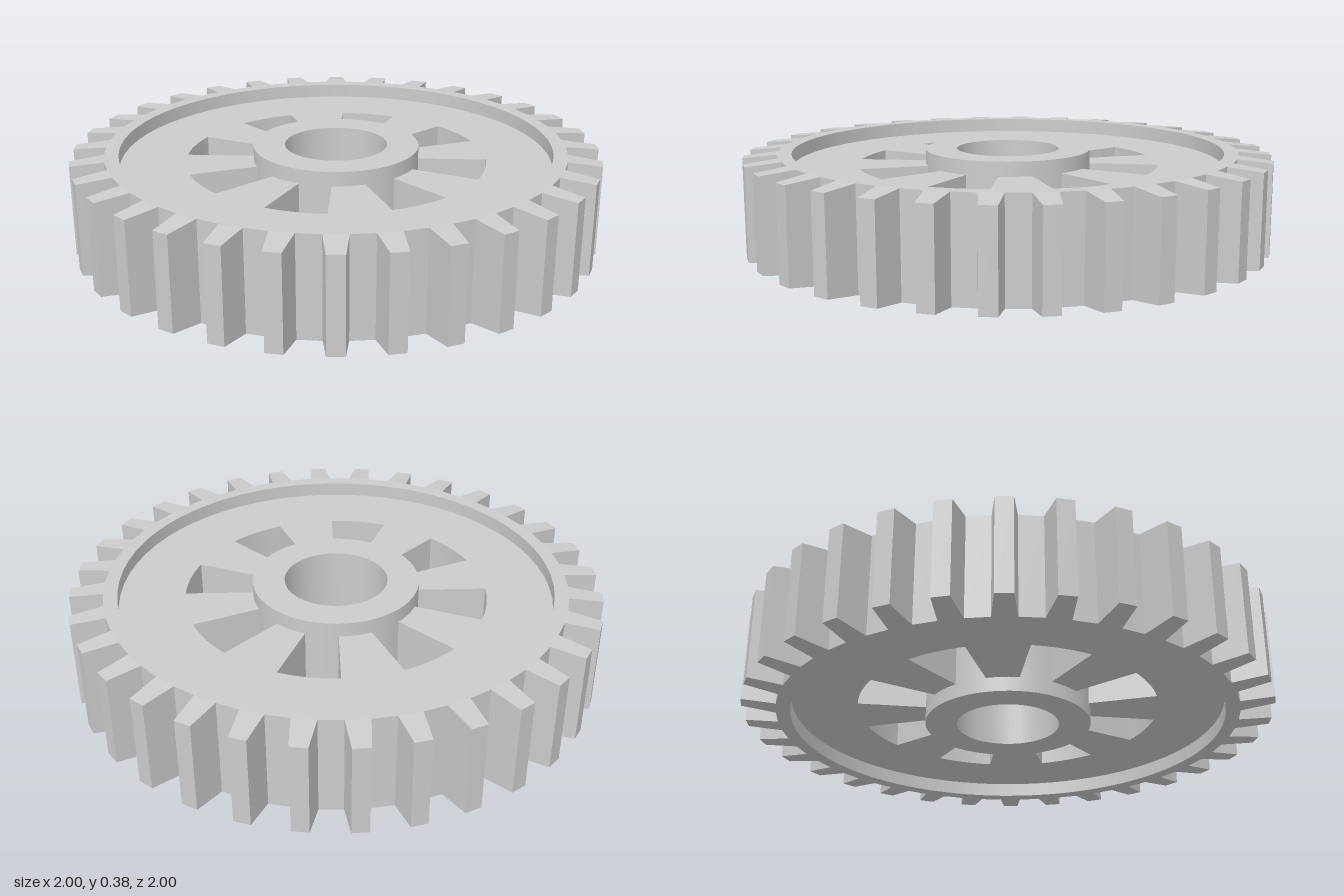
import * as THREE from 'three';
import { toCreasedNormals } from 'three/addons/utils/BufferGeometryUtils.js';

const HEIGHT = 0.376, TEETH = 32, PITCH = (Math.PI * 2) / TEETH;
const BORE = 0.195, HUB = 0.315, WINDOW = 0.573, RIM = 0.82, ROOT = 0.873, TIP = 1;
const TIP_DROP = 0.013;          // the teeth thin slightly towards their tips
const WEB_LOW = 0.055, WEB_HIGH = HEIGHT - 0.055;
const SPOKES = 8;

const material = new THREE.MeshStandardMaterial({ color: 0xcccccc });

function part(name, geometry) {
  const mesh = new THREE.Mesh(geometry, material);
  mesh.name = name;
  return mesh;
}

// Rim band with its teeth, one pitch at a time
function toothedRim() {
  const positions = [];
  const quad = (a, b, c, d) => [a, b, c, a, c, d].forEach((p) => positions.push(...p));
  const pair = (radius, angle, drop = 0) => {
    const x = radius * Math.cos(angle), z = -radius * Math.sin(angle);
    return { low: [x, drop, z], high: [x, HEIGHT - drop, z] };
  };
  const caps = (a, b, c, d) => {
    quad(a.high, b.high, c.high, d.high);
    quad(d.low, c.low, b.low, a.low);
  };
  const wall = (a, b) => quad(a.low, b.low, b.high, a.high);

  for (let i = 0; i < TEETH; i++) {
    const start = i * PITCH, mid = start + PITCH / 4, half = 0.031;
    const angles = [start, start + PITCH / 2, start + PITCH];
    const inner = angles.map((a) => pair(RIM, a));
    const root = angles.map((a) => pair(ROOT, a));
    const tipA = pair(TIP, mid - half, TIP_DROP);
    const tipB = pair(TIP, mid + half, TIP_DROP);
    caps(inner[0], root[0], root[1], inner[1]);
    caps(inner[1], root[1], root[2], inner[2]);
    caps(root[0], tipA, tipB, root[1]);
    wall(root[0], tipA);
    wall(tipA, tipB);
    wall(tipB, root[1]);
    wall(root[1], root[2]);
  }
  const geometry = new THREE.BufferGeometry();
  geometry.setAttribute('position', new THREE.Float32BufferAttribute(positions, 3));
  geometry.computeVertexNormals();
  return geometry;
}

// Recessed disc whose opening alternates between windows and spokes
function webDisc() {
  const shape = new THREE.Shape();
  shape.absarc(0, 0, RIM, 0, Math.PI * 2);
  const opening = [];
  const sector = Math.PI / SPOKES, steps = 6;
  for (let i = 0; i < SPOKES * 2; i++) {
    const radius = i % 2 ? HUB : WINDOW;
    for (let s = 0; s <= steps; s++) {
      const angle = (i - 0.5 + s / steps) * sector;
      opening.push(new THREE.Vector2(radius * Math.cos(angle), radius * Math.sin(angle)));
    }
  }
  shape.holes.push(new THREE.Path(opening));
  const geometry = new THREE.ExtrudeGeometry(shape, {
    depth: WEB_HIGH - WEB_LOW, bevelEnabled: false, curveSegments: 64,
  });
  geometry.rotateX(-Math.PI / 2);
  geometry.translate(0, WEB_LOW, 0);
  return toCreasedNormals(geometry, 0.5);
}

function lathe(points) {
  const profile = points.map(([x, y]) => new THREE.Vector2(x, y));
  return toCreasedNormals(new THREE.LatheGeometry(profile, 64), 0.5);
}

export function createModel() {
  const gear = new THREE.Group();
  gear.name = 'gear';
  gear.add(part('toothedRim', toothedRim()));
  gear.add(part('rimInnerWall', lathe([[RIM, HEIGHT], [RIM, 0]])));
  gear.add(part('spokedWeb', webDisc()));
  gear.add(part('hub', lathe([
    [BORE, 0], [HUB, 0], [HUB, HEIGHT], [BORE, HEIGHT], [BORE, 0],
  ])));
  return gear;
}
